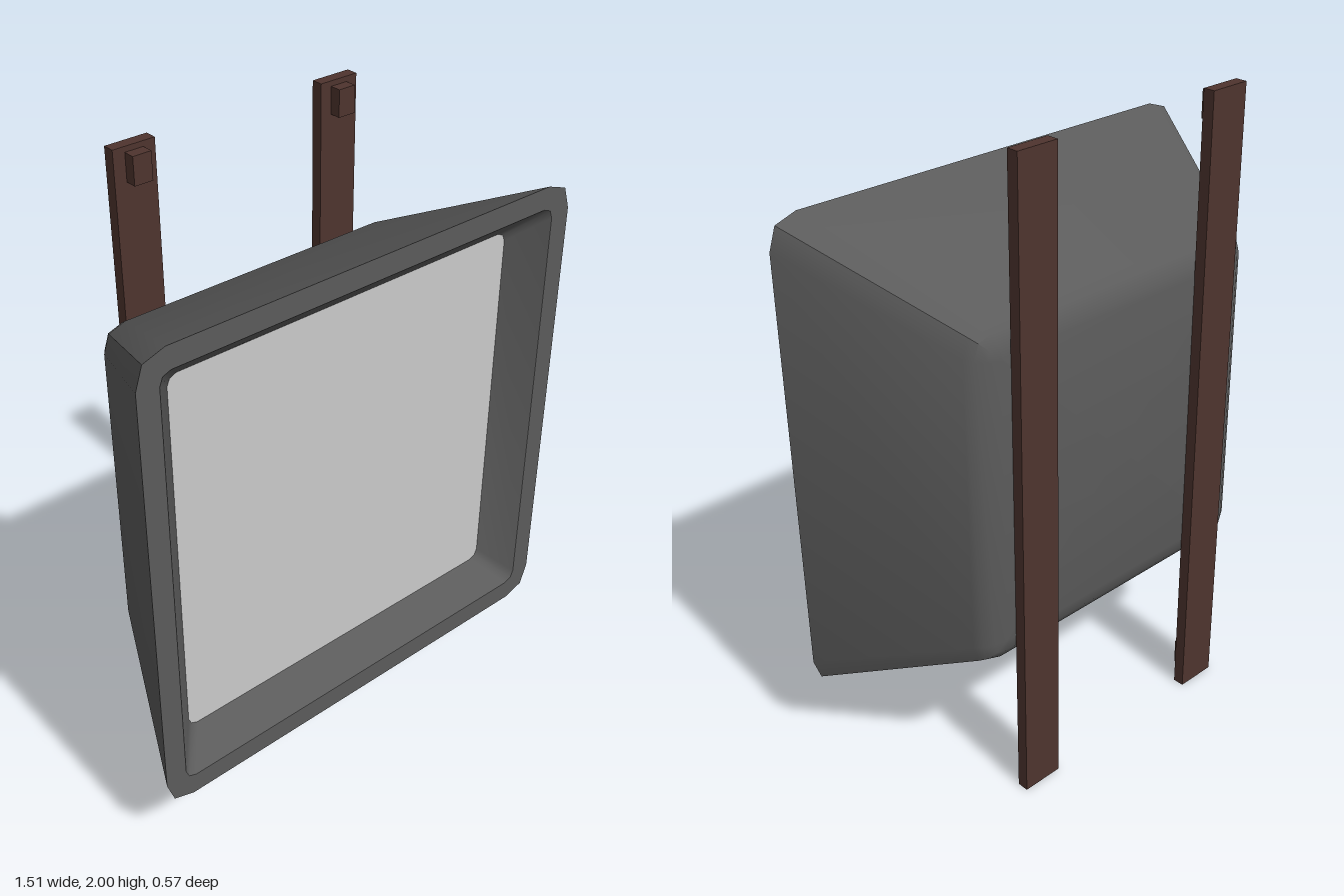
import * as THREE from 'three';
import { toCreasedNormals } from 'three/addons/utils/BufferGeometryUtils.js';

const CY = 1.01; // height of the housing centre

// Square loop, counter-clockwise from the front: half size h, corner points (a,h) (m,m) (h,a)
function squareLoop(h, m, a, z) {
  const corner = [[h, a], [m, m], [a, h]];
  const pts = [];
  for (let q = 0; q < 4; q++) {
    for (let [x, y] of corner) {
      for (let k = 0; k < q; k++) [x, y] = [-y, x];
      pts.push(new THREE.Vector3(x, y + CY, z));
    }
  }
  return pts;
}

// Skin over successive loops running back to front; optional caps at the first and last loop
function loft(loops, capStart, capEnd) {
  const pos = [];
  const tri = (...v) => v.forEach((p) => pos.push(p.x, p.y, p.z));
  const n = loops[0].length;
  for (let i = 0; i + 1 < loops.length; i++) {
    for (let j = 0; j < n; j++) {
      const k = (j + 1) % n;
      const [a, b, c, d] = [loops[i][j], loops[i][k], loops[i + 1][k], loops[i + 1][j]];
      tri(a, b, c);
      tri(a, c, d);
    }
  }
  const cap = (loop, flip) => {
    const centre = new THREE.Vector3(0, CY, loop[0].z);
    for (let j = 0; j < n; j++) {
      const k = (j + 1) % n;
      if (flip) tri(centre, loop[k], loop[j]);
      else tri(centre, loop[j], loop[k]);
    }
  };
  if (capStart) cap(loops[0], true);
  if (capEnd) cap(loops[loops.length - 1], false);
  const geo = new THREE.BufferGeometry();
  geo.setAttribute('position', new THREE.Float32BufferAttribute(pos, 3));
  return toCreasedNormals(geo, 0.62);
}

export function createModel() {
  const group = new THREE.Group();
  const material = (name, color) => {
    const m = new THREE.MeshStandardMaterial({ color });
    m.name = name;
    return m;
  };
  const housingGrey = material('housing grey', 0x5b5b5b);
  const panelGrey = material('panel light grey', 0xcacaca);
  const strapBrown = material('strap brown', 0x4e342e);

  const add = (name, geo, mat, x = 0, y = 0, z = 0, parent = group) => {
    const mesh = new THREE.Mesh(geo, mat);
    mesh.name = name;
    mesh.position.set(x, y, z);
    parent.add(mesh);
  };

  // Tapered housing: rounded back, flared sides, flat rim and sloping recess
  add('housing', loft([
    squareLoop(0.445, 0.442, 0.44, -0.25),
    squareLoop(0.485, 0.477, 0.445, -0.241),
    squareLoop(0.513, 0.497, 0.45, -0.224),
    squareLoop(0.53, 0.51, 0.455, -0.2),
    squareLoop(0.753, 0.73, 0.662, 0.285),
    squareLoop(0.685, 0.675, 0.65, 0.285),
    squareLoop(0.6, 0.591, 0.57, 0.19),
  ], true, false), housingGrey);

  // Flat light panel at the bottom of the recess
  add('panel', loft([squareLoop(0.6, 0.591, 0.57, 0.19)], false, true), panelGrey);

  // Two vertical straps behind the housing, each with a block at both ends
  const strapGeo = new THREE.BoxGeometry(0.132, 2, 0.036);
  const blockGeo = new THREE.BoxGeometry(0.058, 0.082, 0.036);
  for (const [name, x] of [['rightStrap', -0.355], ['leftStrap', 0.346]]) {
    const strap = new THREE.Group();
    strap.name = name;
    group.add(strap);
    add('strapBar', strapGeo, strapBrown, x, 1, -0.267, strap);
    add('lowerBlock', blockGeo, strapBrown, x, 0.081, -0.232, strap);
    add('upperBlock', blockGeo, strapBrown, x, 1.943, -0.232, strap);
  }
  return group;
}
